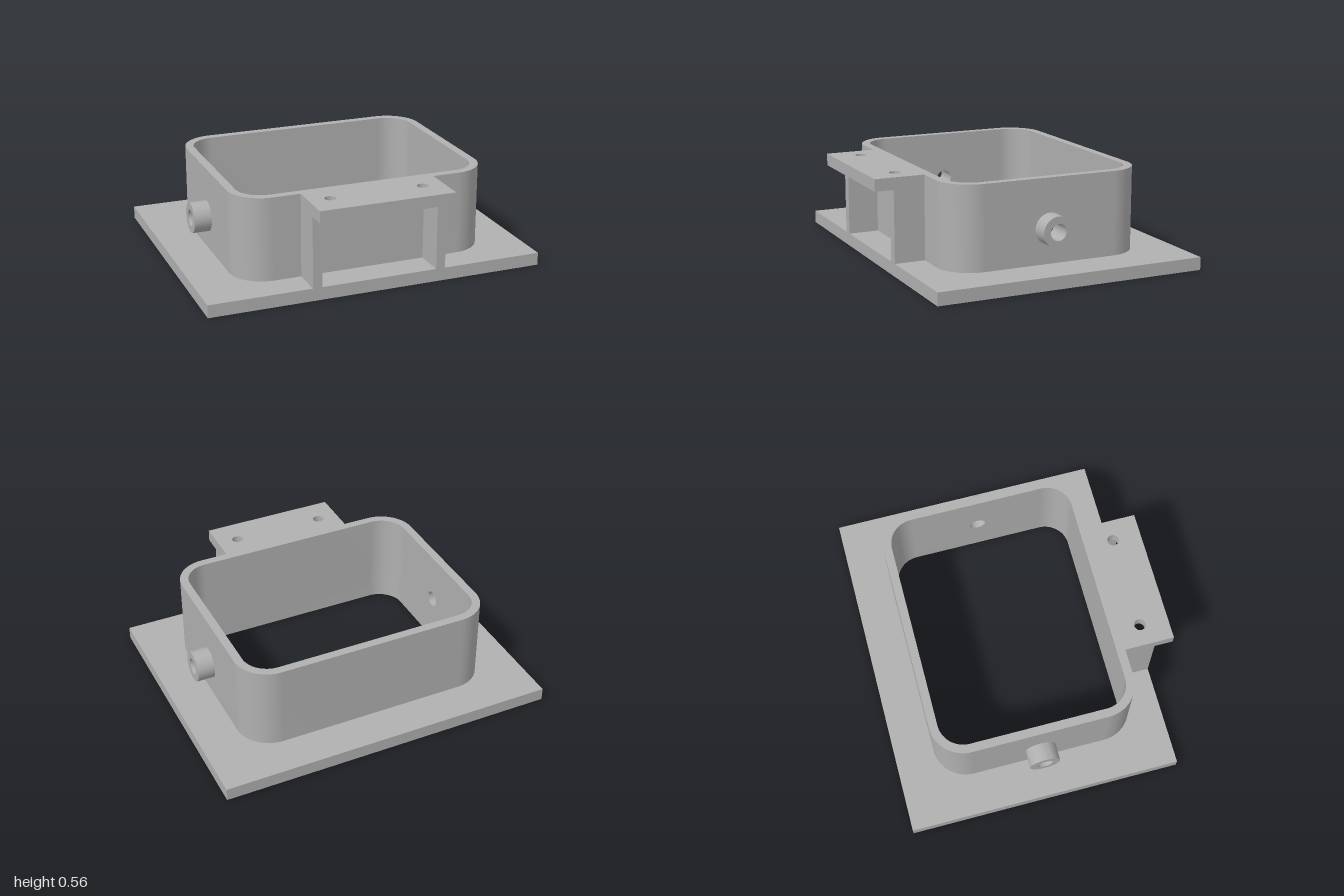
import * as THREE from 'three';
import { toCreasedNormals } from 'three/addons/utils/BufferGeometryUtils.js';

const CZ = -0.03; // centre of the opening along z

// Rounded rectangle around the opening, grown outwards by d
function ring(d, Type = THREE.Path) {
  const p = new Type(), r = 0.15 + d;
  p.absarc(0.56, CZ + 0.4, r, 0, Math.PI / 2);
  p.absarc(-0.56, CZ + 0.4, r, Math.PI / 2, Math.PI);
  p.absarc(-0.56, CZ - 0.4, r, Math.PI, Math.PI * 1.5);
  p.absarc(0.56, CZ - 0.4, r, Math.PI * 1.5, Math.PI * 2);
  p.closePath();
  return p;
}

function rect(x0, x1, y0, y1) {
  return new THREE.Shape([[x0, y0], [x1, y0], [x1, y1], [x0, y1]].map(p => new THREE.Vector2(...p)));
}

function circle(x, y, r, Type = THREE.Path) {
  return new Type().absarc(x, y, r, 0, Math.PI * 2);
}

function extrude(shape, depth) {
  return new THREE.ExtrudeGeometry(shape, { depth, bevelEnabled: false, curveSegments: 24 });
}

// Plan shape (x, z) raised from y0 to y1
function slab(shape, y0, y1) {
  return toCreasedNormals(extrude(shape, y1 - y0).rotateX(Math.PI / 2).translate(0, y1, 0), 0.6);
}

// Side shape (-z, y) running from x0 to x1
function sideways(shape, x0, x1) {
  return toCreasedNormals(extrude(shape, x1 - x0).rotateY(Math.PI / 2).translate(x0, 0, 0), 0.6);
}

export function createModel() {
  const model = new THREE.Group();
  model.name = 'flangedFrame';
  const grey = new THREE.MeshStandardMaterial({ color: 0xb0b0b0 });
  grey.name = 'grey';
  const add = (name, geometry) => {
    const mesh = new THREE.Mesh(geometry, grey);
    mesh.name = name;
    model.add(mesh);
  };

  // Base flange, with a seal groove cut into its underside
  const flange = rect(-1, 1, -0.862, 0.752);
  flange.holes.push(ring(0));
  add('baseFlange', slab(flange, 0.03, 0.075));
  const outer = rect(-1, 1, -0.862, 0.752);
  outer.holes.push(ring(0.075));
  add('baseUnderside', slab(outer, 0, 0.03));
  const lip = ring(0.035, THREE.Shape);
  lip.holes.push(ring(0));
  add('grooveLip', slab(lip, 0, 0.03));

  // Front and back walls with their rounded corners
  const end = new THREE.Shape();
  end.absarc(0.56, 0.4, 0.2, 0, Math.PI / 2);
  end.absarc(-0.56, 0.4, 0.2, Math.PI / 2, Math.PI);
  end.absarc(-0.56, 0.4, 0.15, Math.PI, Math.PI / 2, true);
  end.absarc(0.56, 0.4, 0.15, Math.PI / 2, 0, true);
  end.closePath();
  add('frontWall', slab(end, 0.075, 0.565).translate(0, 0, CZ));
  add('backWall', slab(end, 0.075, 0.565).rotateY(Math.PI).translate(0, 0, CZ));

  // Side walls and pierced bosses
  for (const [side, s] of [['left', 1], ['right', -1]]) {
    const panel = rect(-CZ - 0.4, -CZ + 0.4, 0.075, 0.565);
    panel.holes.push(circle(0.027, 0.277, 0.048));
    add(side + 'Wall', sideways(panel, s * 0.735 - 0.025, s * 0.735 + 0.025));
    const boss = circle(0.027, 0.277, 0.09, THREE.Shape);
    boss.holes.push(circle(0.027, 0.277, 0.048));
    add(side + 'Boss', sideways(boss, s * 0.811 - 0.051, s * 0.811 + 0.051));

    // Upright rib under the shelf
    const rib = new THREE.BoxGeometry(0.055, 0.42, 0.182);
    add(side + 'Rib', rib.translate(s * 0.3725, 0.285, 0.661));
  }

  // Mounting shelf with two screw holes
  const shelf = rect(-0.4, 0.4, 0.57, 0.862);
  shelf.holes.push(circle(-0.275, 0.695, 0.033), circle(0.275, 0.695, 0.033));
  add('mountingShelf', slab(shelf, 0.495, 0.565));

  return model;
}
